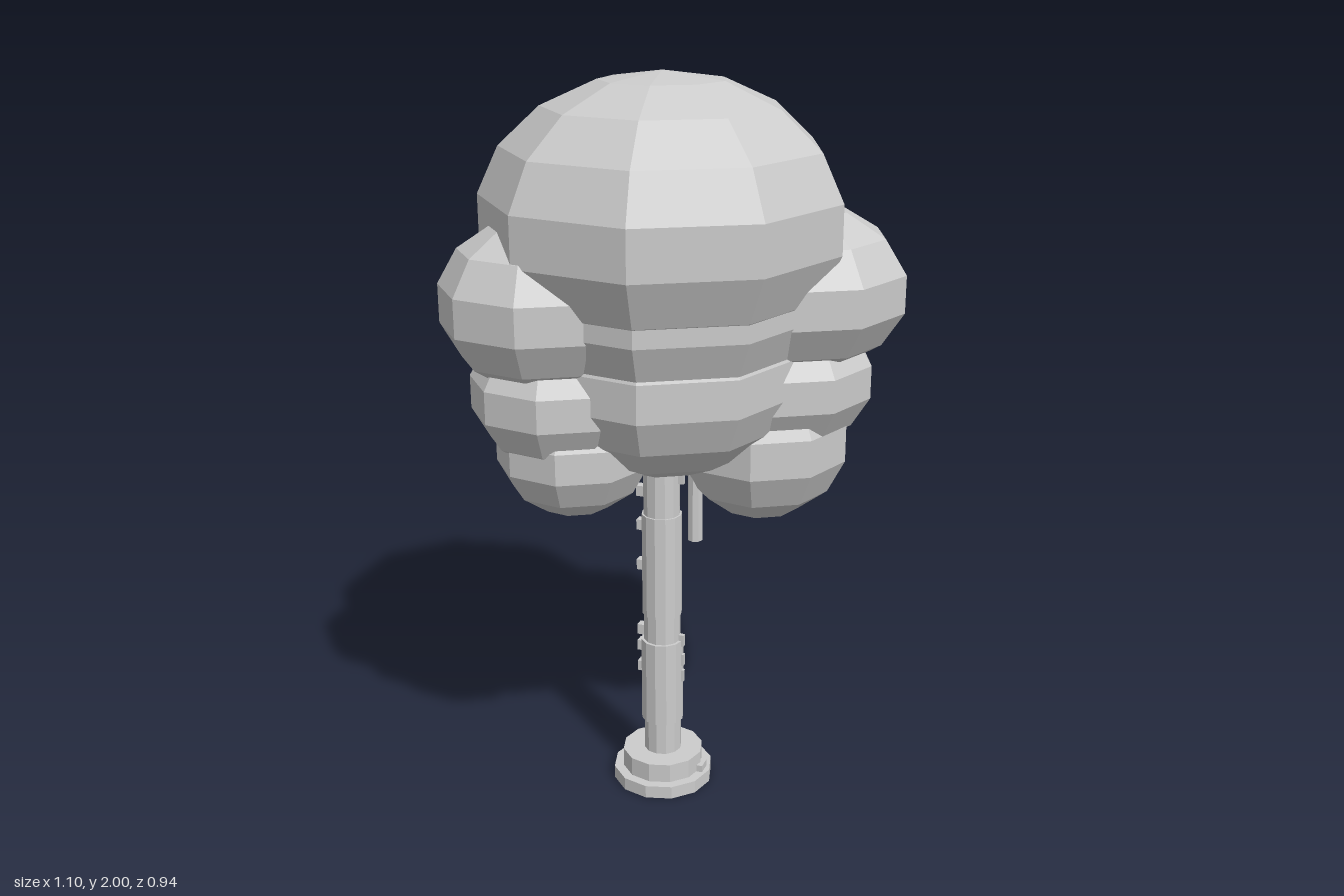
import * as THREE from 'three';

export function createModel() {
  const model = new THREE.Group();
  const mat = new THREE.MeshStandardMaterial({ color: 0xcccccc, flatShading: true });
  const TX = -0.06, TZ = 0.01; // trunk axis

  const add = (name, geo, x, y, z, parent = model) => {
    const m = new THREE.Mesh(geo, mat);
    m.name = name;
    m.position.set(x, y, z);
    parent.add(m);
    return m;
  };
  const cyl = (name, r0, r1, y0, y1, sides = 12, x = TX, z = TZ) =>
    add(name, new THREE.CylinderGeometry(r1, r0, y1 - y0, sides), x, (y0 + y1) / 2, z);

  // Stepped round base
  cyl('baseDisc', 0.142, 0.142, 0, 0.037);
  cyl('baseStep', 0.115, 0.115, 0.037, 0.092);
  add('baseTab', new THREE.BoxGeometry(0.03, 0.02, 0.04), 0.052, 0.047, TZ);

  // Trunk with thicker bark sleeves
  cyl('trunk', 0.053, 0.05, 0.09, 1.2);
  cyl('lowerBark', 0.06, 0.06, 0.19, 0.44);
  cyl('upperBark', 0.056, 0.056, 0.52, 0.82);

  // Branch stub under the left rear foliage
  cyl('branch', 0.021, 0.021, 0.73, 1.0, 8, 0.018, -0.045);

  // Small knots along both sides of the trunk
  const knots = new THREE.Group();
  knots.name = 'knots';
  model.add(knots);
  for (const y of [0.345, 0.41, 0.46, 0.66, 0.78, 0.88])
    add('rightKnot', new THREE.BoxGeometry(0.035, 0.03, 0.025), -0.113, y, TZ, knots);
  for (const y of [0.33, 0.38, 0.44, 0.93])
    add('leftKnot', new THREE.BoxGeometry(0.03, 0.035, 0.012), -0.01, y, TZ, knots);

  // Foliage: stacks of squashed nine-sided balls, [x, y, z, radius, half height]
  const foliage = (name, rows, balls) => {
    const g = new THREE.Group();
    g.name = name;
    model.add(g);
    for (const [x, y, z, r, h] of balls) {
      const geo = new THREE.SphereGeometry(1, 9, rows).rotateY(Math.PI).scale(r, h, r);
      add('foliageBall', geo, x, y, z, g);
    }
  };
  foliage('mainCrown', 9, [
    [-0.055, 1.63, 0.003, 0.48, 0.37],
    [-0.055, 1.453, 0.003, 0.42, 0.33],
    [-0.055, 1.245, 0.003, 0.38, 0.293],
  ]);
  foliage('rightFrontFoliage', 7, [
    [-0.305, 1.437, 0.21, 0.27, 0.225],
    [-0.275, 1.2, 0.19, 0.235, 0.195],
    [-0.245, 1.05, 0.17, 0.21, 0.185],
  ]);
  foliage('leftRearFoliage', 7, [
    [0.25, 1.437, -0.18, 0.303, 0.225],
    [0.22, 1.2, -0.155, 0.256, 0.2],
    [0.178, 1.03, -0.13, 0.242, 0.228],
  ]);
  return model;
}
